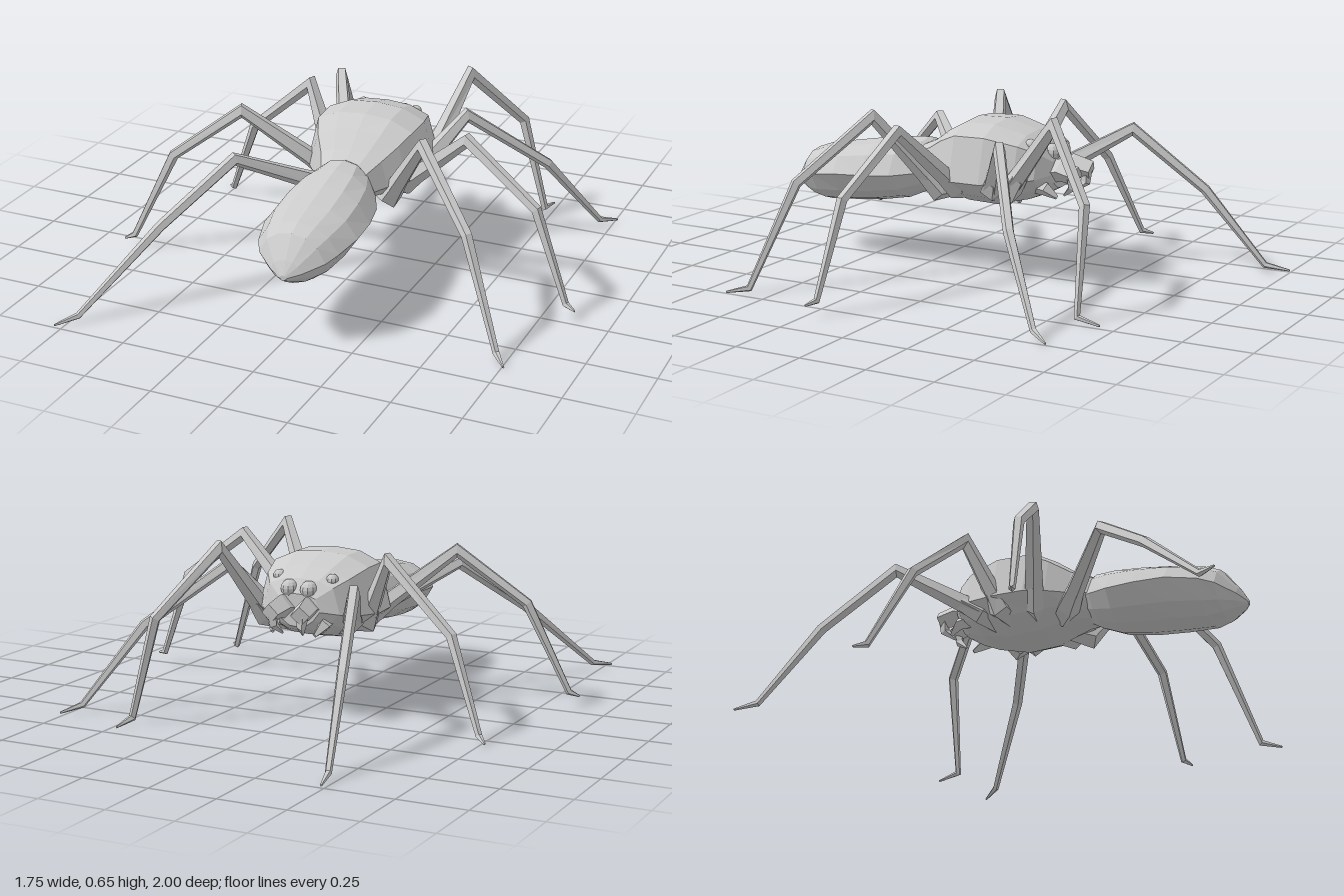
import * as THREE from 'three';

const material = new THREE.MeshStandardMaterial({ color: 0xcccccc, flatShading: true });
const V = (x, y, z) => new THREE.Vector3(x, y, z);

// Skin rings of points (counter-clockwise about the direction of travel), with both ends closed
function loft(rings) {
  const n = rings[0].length, pos = [];
  const tri = (...pts) => pts.forEach((p) => pos.push(p.x, p.y, p.z));
  const centre = (ring) => ring.reduce((s, p) => s.add(p), V(0, 0, 0)).divideScalar(n);
  const first = rings[0], last = rings[rings.length - 1];
  const c0 = centre(first), c1 = centre(last);
  for (let k = 0; k < n; k++) {
    const m = (k + 1) % n;
    for (let r = 0; r < rings.length - 1; r++) {
      const a = rings[r], b = rings[r + 1];
      tri(a[k], a[m], b[m]);
      tri(a[k], b[m], b[k]);
    }
    tri(c0, first[m], first[k]);
    tri(c1, last[k], last[m]);
  }
  const geo = new THREE.BufferGeometry();
  geo.setAttribute('position', new THREE.Float32BufferAttribute(pos, 3));
  geo.computeVertexNormals();
  return geo;
}

// The body is turned very slightly, so its midline drifts sideways with z
const midline = (z) => -0.015 + 0.05 * z;

// Half outline from the top to the bottom, mirrored into a ring; v > 0 is above the widest line
function bodyRing(half, [z, w, yTop, yMid, yBot]) {
  const at = ([u, v], s) => V(midline(z) + s * u * w, yMid + v * (v > 0 ? yTop - yMid : yMid - yBot), z);
  const left = half.map((p) => at(p, -1));
  const right = half.slice(1, -1).reverse().map((p) => at(p, 1));
  return [...left, ...right];
}

// Tapering limb with mitred joints through a list of points
function limb(points, radii, sides = 5) {
  const p = points.map((a) => V(...a));
  const n = p.length - 1;
  const side = p[n].clone().sub(p[0]).setY(0).cross(V(0, 1, 0)).normalize();
  const dir = (i) => p[i + 1].clone().sub(p[i]).normalize();
  return loft(p.map((c, i) => {
    const before = dir(Math.max(i - 1, 0)), after = dir(Math.min(i, n - 1));
    const t = before.clone().add(after).normalize();
    const u = side.clone().addScaledVector(t, -side.dot(t)).normalize();
    const v = t.clone().cross(u).multiplyScalar(Math.min(1.5, 1 / t.dot(after)));
    return Array.from({ length: sides }, (_, k) => {
      const a = (k / sides) * Math.PI * 2 + Math.PI / 2;
      return c.clone().addScaledVector(u, Math.cos(a) * radii[i]).addScaledVector(v, Math.sin(a) * radii[i]);
    });
  }));
}

export function createModel() {
  const group = new THREE.Group();
  const add = (name, geo) => {
    const mesh = new THREE.Mesh(geo, material);
    mesh.name = name;
    group.add(mesh);
    return mesh;
  };

  // Head and thorax: z, half width, top, widest height, bottom
  const thoraxHalf = [[0, 1], [0.45, 0.96], [0.82, 0.78], [1, 0], [0.72, -0.55], [0.35, -0.95], [0, -1]];
  add('thorax', loft([
    [-0.285, 0.09, 0.46, 0.4, 0.34],
    [-0.25, 0.155, 0.51, 0.39, 0.32],
    [-0.19, 0.2, 0.545, 0.38, 0.295],
    [-0.07, 0.232, 0.58, 0.37, 0.265],
    [0.05, 0.228, 0.578, 0.37, 0.27],
    [0.12, 0.195, 0.54, 0.37, 0.29],
    [0.19, 0.145, 0.49, 0.37, 0.3],
    [0.27, 0.105, 0.455, 0.37, 0.3],
  ].map((s) => bodyRing(thoraxHalf, s))));

  // Abdomen, keeled underneath
  const abdomenHalf = [[0, 1], [0.42, 0.9], [0.75, 0.6], [1, 0], [0.72, -0.55], [0.38, -0.85], [0, -1]];
  add('abdomen', loft([
    [0.22, 0.1, 0.46, 0.37, 0.3],
    [0.26, 0.125, 0.48, 0.36, 0.275],
    [0.34, 0.16, 0.475, 0.35, 0.24],
    [0.45, 0.177, 0.46, 0.345, 0.22],
    [0.57, 0.178, 0.44, 0.34, 0.208],
    [0.68, 0.152, 0.42, 0.325, 0.2],
    [0.735, 0.125, 0.4, 0.31, 0.215],
    [0.79, 0.06, 0.325, 0.285, 0.245],
    [0.815, 0.012, 0.28, 0.27, 0.26],
  ].map((s) => bodyRing(abdomenHalf, s))));

  // Eyes, jaws and feelers, in mirrored pairs about the head's midline
  for (const s of [-1, 1]) {
    const cx = -0.028, word = s > 0 ? 'left' : 'right';
    for (const [name, x, y, z, r] of [['FrontEye', 0.039, 0.475, -0.265, 0.032], ['SideEye', 0.106, 0.505, -0.213, 0.024]]) {
      add(word + name, new THREE.SphereGeometry(r, 10, 8)).position.set(cx + s * x, y, z);
    }
    add(word + 'Jaw', limb([
      [cx + s * 0.045, 0.4, -0.24], [cx + s * 0.05, 0.415, -0.31], [cx + s * 0.06, 0.4, -0.375],
    ], [0.04, 0.042, 0.036], 4));
    add(word + 'Fang', limb([
      [cx + s * 0.06, 0.4, -0.355], [cx + s * 0.055, 0.355, -0.355], [cx + s * 0.04, 0.32, -0.315],
    ], [0.022, 0.016, 0.004], 4));
    add(word + 'Feeler', limb([
      [cx + s * 0.09, 0.36, -0.2], [cx + s * 0.1, 0.35, -0.27], [cx + s * 0.085, 0.32, -0.31],
    ], [0.03, 0.024, 0.008], 4));
  }

  // Legs: hip, knee, shin joint, ankle, toe; each one is posed differently
  const legs = {
    leftFrontLeg: [[0.16, 0.35, -0.17], [0.23, 0.62, -0.385], [0.38, 0.386, -0.58], [0.47, 0.02, -0.6], [0.48, 0.005, -0.69]],
    leftSecondLeg: [[0.16, 0.35, -0.1], [0.29, 0.53, -0.2], [0.55, 0.31, -0.38], [0.71, 0.03, -0.56], [0.76, 0.01, -0.63]],
    leftThirdLeg: [[0.15, 0.34, 0.06], [0.42, 0.58, 0.14], [0.7, 0.385, 0.19], [0.83, 0.055, 0.215], [0.87, 0.045, 0.235]],
    leftBackLeg: [[0.13, 0.32, 0.14], [0.32, 0.605, 0.305], [0.555, 0.385, 0.48], [0.71, 0.02, 0.585], [0.76, 0.01, 0.65]],
    rightFrontLeg: [[-0.18, 0.35, -0.15], [-0.325, 0.52, -0.43], [-0.41, 0.3, -0.69], [-0.47, 0.025, -0.91], [-0.49, 0.01, -1]],
    rightSecondLeg: [[-0.2, 0.34, -0.06], [-0.32, 0.58, -0.145], [-0.59, 0.345, -0.2], [-0.735, 0.025, -0.285], [-0.77, 0.01, -0.32]],
    rightThirdLeg: [[-0.16, 0.34, 0.06], [-0.44, 0.575, 0.195], [-0.69, 0.385, 0.27], [-0.84, 0.055, 0.325], [-0.875, 0.04, 0.34]],
    rightBackLeg: [[-0.11, 0.33, 0.17], [-0.355, 0.485, 0.42], [-0.53, 0.29, 0.66], [-0.72, 0.025, 0.93], [-0.775, 0.01, 1]],
  };
  for (const [name, path] of Object.entries(legs)) {
    add(name, limb(path, [0.038, 0.023, 0.02, 0.012, 0.004]));
    // Stout hip joint tucked under the thorax
    const hip = V(...path[0]), knee = V(...path[1]);
    const inner = V(hip.x * 0.5, 0.32, hip.z * 0.7), outer = hip.clone().lerp(knee, 0.22);
    add(name + 'Hip', limb([inner.toArray(), path[0], outer.toArray()], [0.035, 0.045, 0.034]));
  }
  return group;
}
